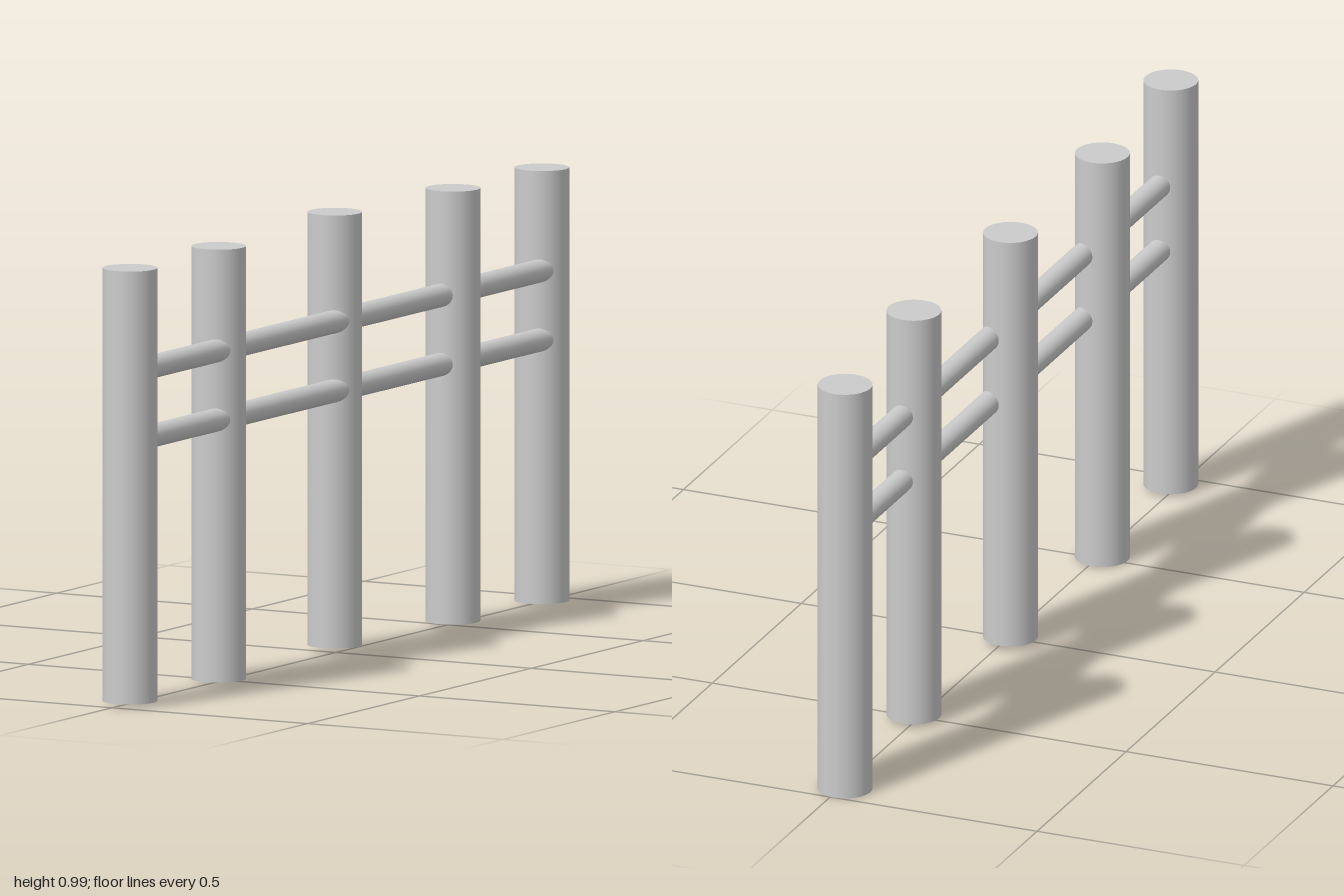
import * as THREE from 'three';

export function createModel() {
  const group = new THREE.Group();
  const material = new THREE.MeshStandardMaterial({ color: 0xcccccc });

  // Upright posts, each slightly out of line: [x, bottom y, z]
  const postRadius = 0.061, postHeight = 0.971;
  const postGeometry = new THREE.CylinderGeometry(postRadius, postRadius, postHeight, 32);
  const posts = [
    [0.011, 0.009, 0.939],
    [-0.01, 0.003, 0.506],
    [-0.014, 0.014, -0.02],
    [0.01, 0.009, -0.506],
    [-0.01, 0, -0.939],
  ];
  posts.forEach(([x, y, z], i) => {
    const post = new THREE.Mesh(postGeometry, material);
    post.name = `post${i + 1}`;
    post.position.set(x, y + postHeight / 2, z);
    group.add(post);
  });

  // Two round rails running through all the posts
  const railGeometry = new THREE.CylinderGeometry(0.026, 0.026, 1.88, 24).rotateX(Math.PI / 2);
  [['lowerRail', 0.592], ['upperRail', 0.747]].forEach(([name, y]) => {
    const rail = new THREE.Mesh(railGeometry, material);
    rail.name = name;
    rail.position.set(0.014, y, 0);
    group.add(rail);
  });

  return group;
}
